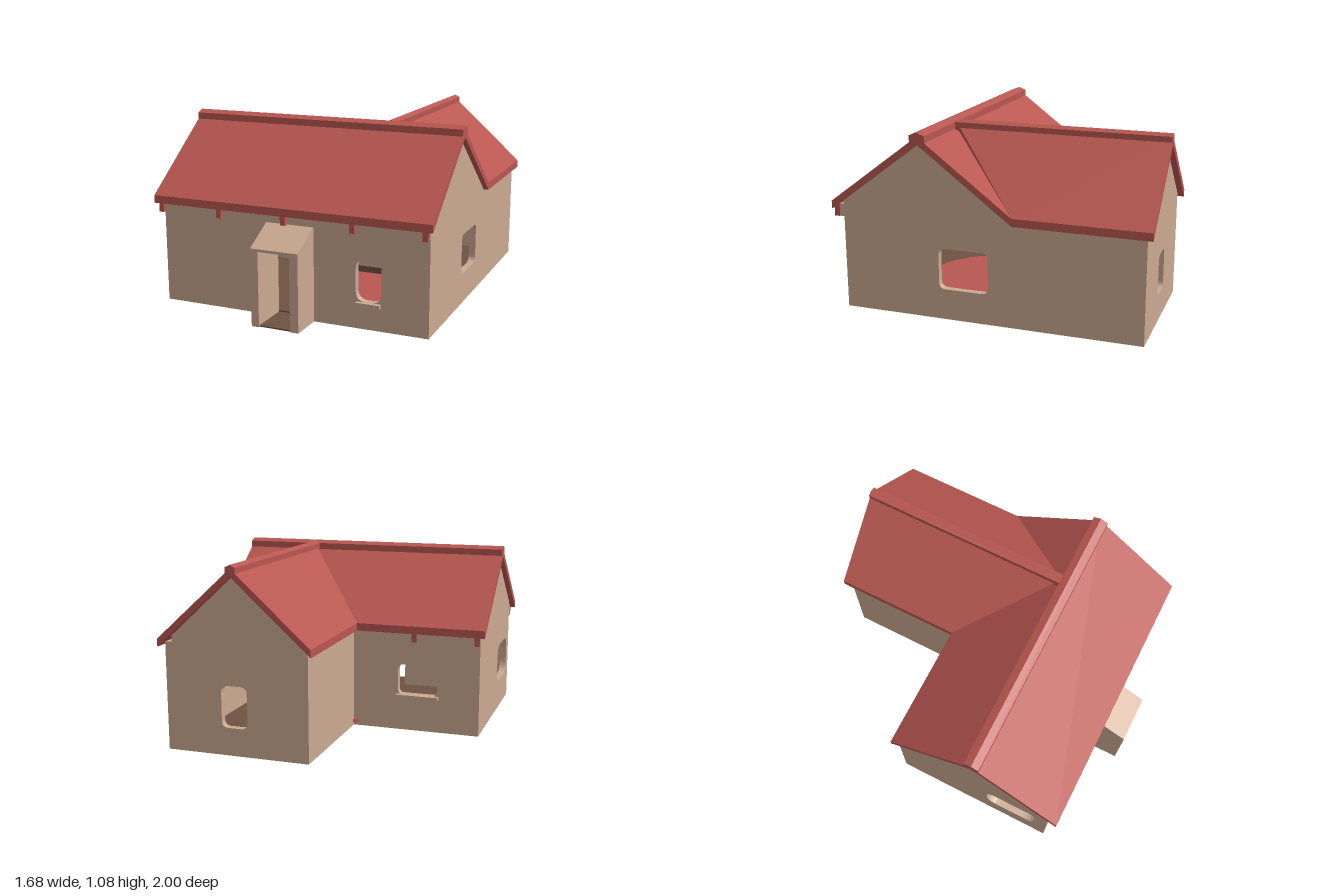
import * as THREE from 'three';

const mat = (name, color) => {
  const m = new THREE.MeshStandardMaterial({ color });
  m.name = name;
  return m;
};

export function createModel() {
  const house = new THREE.Group();
  house.name = 'house';
  const plaster = mat('tan plaster', 0xcbaa92);
  const tile = mat('red tile', 0xb95751);
  const wood = mat('brown wood', 0x6e5242);

  const add = (name, geo, material) => {
    const mesh = new THREE.Mesh(geo, material);
    mesh.name = name;
    house.add(mesh);
    return mesh;
  };
  // Box given by its extents on each axis
  const box = (name, material, x0, x1, y0, y1, z0, z1) => {
    const g = new THREE.BoxGeometry(x1 - x0, y1 - y0, z1 - z0);
    g.translate((x0 + x1) / 2, (y0 + y1) / 2, (z0 + z1) / 2);
    return add(name, g, material);
  };
  const poly = (pts) => new THREE.Shape(pts.map((p) => new THREE.Vector2(...p)));
  // Rounded window opening
  const opening = (x0, x1, y0, y1, r) => {
    const h = new THREE.Path();
    h.moveTo(x0 + r, y0);
    h.lineTo(x1 - r, y0);
    h.quadraticCurveTo(x1, y0, x1, y0 + r);
    h.lineTo(x1, y1 - r);
    h.quadraticCurveTo(x1, y1, x1 - r, y1);
    h.lineTo(x0 + r, y1);
    h.quadraticCurveTo(x0, y1, x0, y1 - r);
    h.lineTo(x0, y0 + r);
    h.quadraticCurveTo(x0, y0, x0 + r, y0);
    return h;
  };
  const extrude = (pts, depth, holes = []) => {
    const s = poly(pts);
    s.holes.push(...holes);
    return new THREE.ExtrudeGeometry(s, { depth, bevelEnabled: false, curveSegments: 6 });
  };
  // (x, y) outline running from z0 to z1
  const alongZ = (name, material, pts, z0, z1, holes) =>
    add(name, extrude(pts, z1 - z0, holes).translate(0, 0, z0), material);
  // (z, y) outline running from x0 to x1
  const alongX = (name, material, pts, x0, x1, holes) =>
    add(name, extrude(pts, x1 - x0, holes).rotateY(-Math.PI / 2).translate(x1, 0, 0), material);

  // Side walls with gables
  alongX('leftWall', plaster,
    [[-0.965, 0], [0.8, 0], [0.8, 0.645], [0.315, 1.01], [-0.2, 0.625], [-0.965, 0.625]],
    0.77, 0.81, [opening(-0.08, 0.215, 0.18, 0.42, 0.04)]);
  alongX('rightWall', plaster,
    [[-0.2, 0], [0.8, 0], [0.8, 0.645], [0.315, 1.01], [-0.2, 0.622]],
    -0.815, -0.775, [opening(0.395, 0.73, 0.18, 0.42, 0.085)]);

  // Front wall with doorway and window
  alongZ('frontWall', plaster,
    [[-0.775, 0], [-0.1, 0], [-0.1, 0.43], [0.09, 0.43], [0.09, 0], [0.77, 0], [0.77, 0.645], [-0.775, 0.645]],
    0.76, 0.8, [opening(0.39, 0.54, 0.155, 0.4, 0.06)]);
  box('wallPlate', plaster, -0.815, 0.81, 0.55, 0.625, 0.8, 0.825);

  // Back walls
  alongZ('backWall', plaster,
    [[-0.775, 0], [0, 0], [0, 0.622], [-0.775, 0.622]],
    -0.2, -0.16, [opening(-0.56, -0.32, 0.22, 0.405, 0.035)]);
  box('wingSideWall', plaster, -0.04, 0, 0, 0.625, -0.925, -0.2);
  alongZ('wingGable', plaster,
    [[-0.04, 0], [0.77, 0], [0.77, 0.66], [0.385, 1.01], [-0.04, 0.627]],
    -0.965, -0.925, [opening(0.32, 0.475, 0.16, 0.4, 0.04)]);

  // Window sills
  box('frontSill', plaster, 0.395, 0.535, 0.13, 0.155, 0.76, 0.825);
  box('backSill', plaster, -0.57, -0.31, 0.2, 0.222, -0.23, -0.16);

  // Floor
  box('mainBase', plaster, -0.775, 0.77, 0, 0.01, -0.2, 0.76);
  box('wingBase', plaster, 0, 0.77, 0, 0.01, -0.925, -0.2);
  box('mainFloor', wood, -0.775, 0.77, 0.01, 0.018, -0.16, 0.76);
  box('wingFloor', wood, 0, 0.77, 0.01, 0.018, -0.925, -0.16);

  // Porch
  const porchSide = [[0.8, 0], [1, 0], [1, 0.445], [0.8, 0.55]];
  alongX('porchRight', plaster, porchSide, -0.145, -0.1);
  alongX('porchLeft', plaster, porchSide, 0.09, 0.14);
  alongX('porchRoof', plaster, [[0.8, 0.43], [1, 0.43], [1, 0.445], [0.8, 0.55]], -0.1, 0.09);
  box('porchFloor', wood, -0.1, 0.09, 0.002, 0.01, 0.76, 0.995);

  // Main roof and ridge cap
  alongX('mainRoof', tile,
    [[0.86, 0.6], [0.86, 0.645], [0.315, 1.055], [-0.23, 0.645], [-0.23, 0.6], [0.315, 1.01]],
    -0.845, 0.84);
  alongX('mainRidge', tile,
    [[0.36, 1.005], [0.36, 1.06], [0.315, 1.077], [0.27, 1.06], [0.27, 1.005], [0.315, 1.03]],
    -0.845, 0.84);

  // Wing roof, its front end cut back along the two valleys
  const wing = extrude(
    [[-0.07, 0.6], [0.385, 1.01], [0.84, 0.6], [0.84, 0.645], [0.385, 1.055], [-0.07, 0.645]], 1);
  const p = wing.attributes.position;
  for (let i = 0; i < p.count; i++) {
    const rise = 1 - Math.abs(p.getX(i) - 0.385) / 0.455;
    p.setZ(i, p.getZ(i) < 0.5 ? -1 : -0.23 + 0.5 * rise);
  }
  wing.computeVertexNormals();
  add('wingRoof', wing, tile);
  alongZ('wingRidge', tile,
    [[0.355, 1.01], [0.385, 1.03], [0.415, 1.01], [0.415, 1.06], [0.385, 1.075], [0.355, 1.06]],
    -1, 0.27);

  // Rafter ends under the eaves
  [-0.8, -0.423, -0.02, 0.39, 0.8].forEach((x, i) => {
    box('frontRafterEnd', tile, x - 0.015, x + 0.015, 0.55, 0.625, 0.825, 0.858);
    if (i < 2) box('backRafterEnd', tile, x - 0.015, x + 0.015, 0.55, 0.62, -0.228, -0.2);
  });

  // Round rug and stove inside
  const rug = add('rug', new THREE.CylinderGeometry(0.42, 0.42, 0.022, 32), tile);
  rug.position.set(0.2, 0.029, 0.12);
  box('stoveBase', wood, 0.03, 0.25, 0.018, 0.08, -0.2, -0.02);
  box('stoveTop', plaster, 0.035, 0.25, 0.08, 0.14, -0.2, -0.02);
  box('stovePot', wood, 0.065, 0.11, 0.14, 0.165, -0.13, -0.08);
  box('stoveChimney', plaster, 0.13, 0.25, 0.14, 0.35, -0.2, -0.01);
  box('stoveFlue', plaster, 0.15, 0.23, 0.35, 0.41, -0.18, -0.025);

  return house;
}
